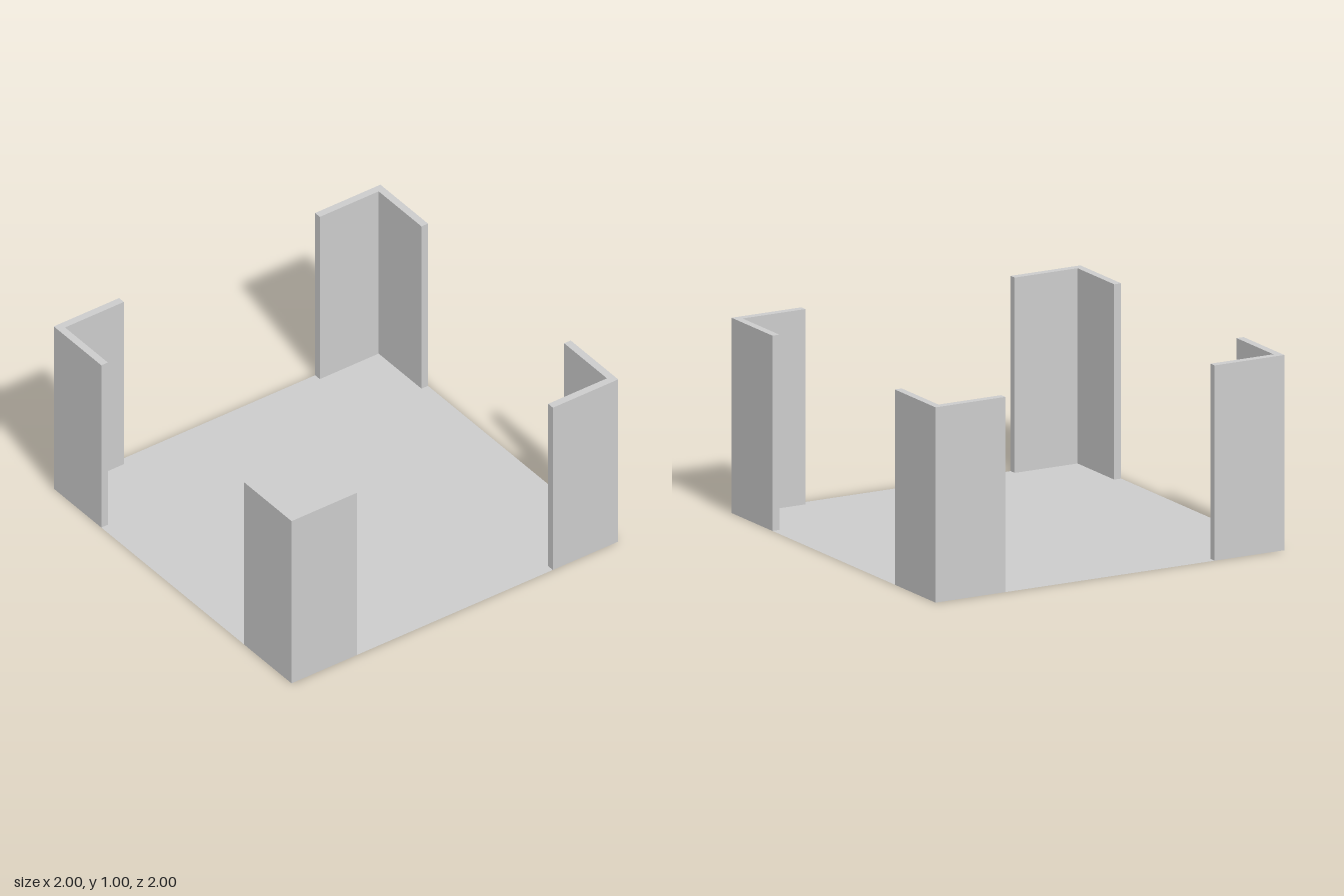
import * as THREE from 'three';

const HALF = 1;      // half the side of the square floor
const ARM = 0.4;     // length of each arm of a corner wall
const THICK = 0.04;  // wall thickness
const HEIGHT = 1;

export function createModel() {
  const model = new THREE.Group();
  model.name = 'corneredPlatform';
  const material = new THREE.MeshStandardMaterial({ color: 0xcccccc, flatShading: true });

  // Thin square floor
  const floorMaterial = material.clone();
  floorMaterial.side = THREE.DoubleSide;
  const floor = new THREE.Mesh(new THREE.PlaneGeometry(2 * HALF, 2 * HALF).rotateX(-Math.PI / 2), floorMaterial);
  floor.name = 'floor';
  model.add(floor);

  // L-shaped corner wall, extruded upwards
  const inner = HALF - THICK, end = HALF - ARM;
  const outline = new THREE.Shape([
    [HALF, HALF], [end, HALF], [end, inner], [inner, inner], [inner, end], [HALF, end],
  ].map(([x, y]) => new THREE.Vector2(x, y)));
  const wallGeometry = new THREE.ExtrudeGeometry(outline, { depth: HEIGHT, bevelEnabled: false }).rotateX(-Math.PI / 2);

  // One wall per corner, by quarter turns
  ['backLeft', 'backRight', 'frontRight', 'frontLeft'].forEach((corner, i) => {
    const wall = new THREE.Mesh(wallGeometry, material);
    wall.name = corner + 'CornerWall';
    wall.rotation.y = i * Math.PI / 2;
    model.add(wall);
  });

  return model;
}
